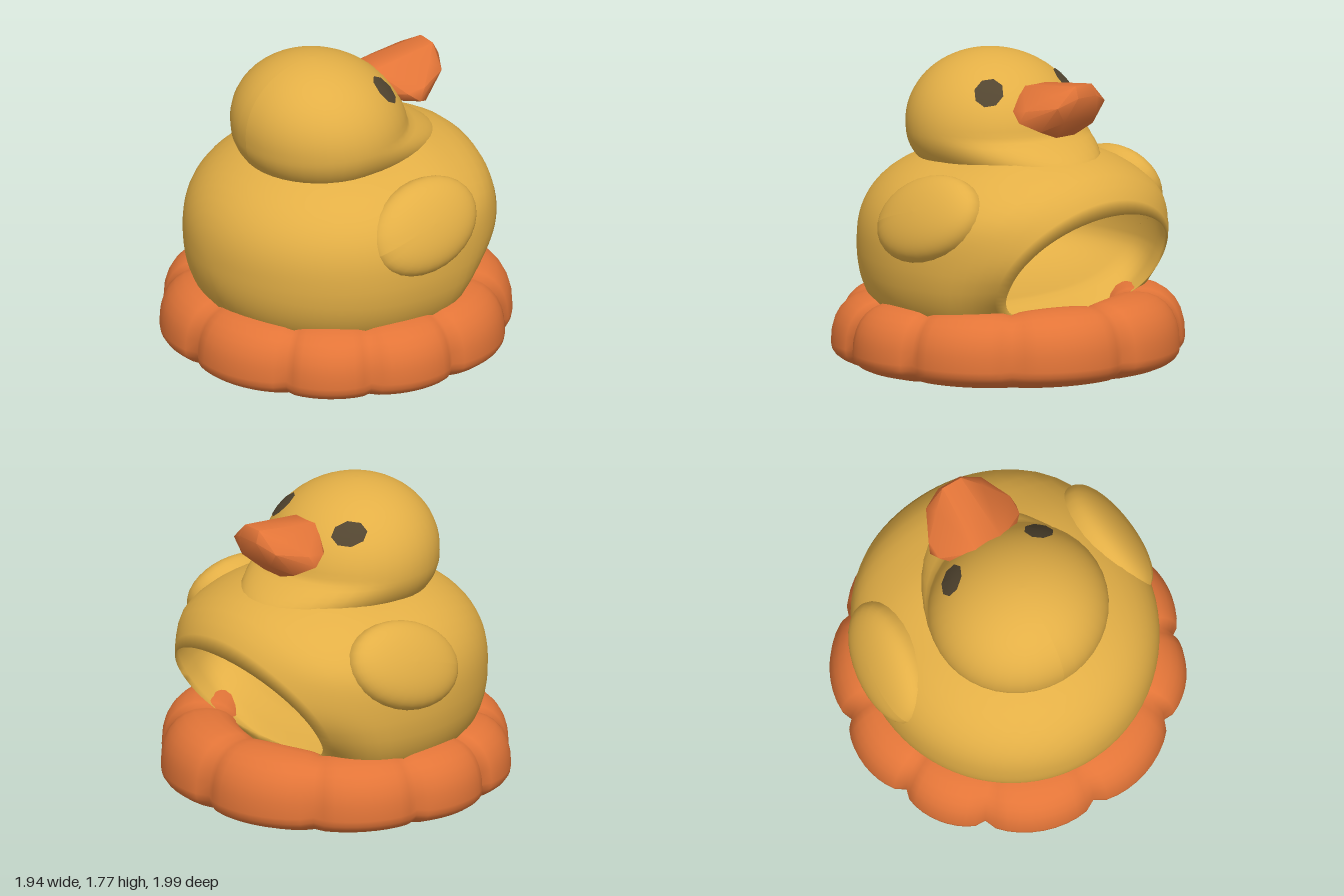
import * as THREE from 'three';
import { mergeVertices, toCreasedNormals } from 'three/addons/utils/BufferGeometryUtils.js';
import { ConvexGeometry } from 'three/addons/geometries/ConvexGeometry.js';

const { sin, cos, PI, hypot, abs, max, pow, exp } = Math;
const { smoothstep } = THREE.MathUtils;
const V = (x, y, z) => new THREE.Vector3(x, y, z);
const signedPow = (v, p) => Math.sign(v) * pow(abs(v), p);

// Smooth surface from a grid of points; u and v run from 0 to 1
function surface(nu, nv, point) {
  const pos = [], index = [];
  for (let i = 0; i <= nu; i++)
    for (let j = 0; j <= nv; j++) pos.push(...point((i % nu) / nu, j / nv).toArray());
  for (let i = 0; i < nu; i++)
    for (let j = 0; j < nv; j++) {
      const a = i * (nv + 1) + j, b = a + nv + 1;
      index.push(a, a + 1, b, b, a + 1, b + 1);
    }
  let geo = new THREE.BufferGeometry();
  geo.setAttribute('position', new THREE.Float32BufferAttribute(pos, 3));
  geo.setIndex(index);
  geo = mergeVertices(geo);
  geo.computeVertexNormals();
  return geo;
}

// Move every vertex of a geometry by a rule
function reshape(geo, rule) {
  const p = geo.attributes.position;
  for (let i = 0; i < p.count; i++) p.setXYZ(i, ...rule(V().fromBufferAttribute(p, i)).toArray());
  geo.computeVertexNormals();
  return geo;
}

// Scalloped cushion with ten lobes of uneven length
function cushionGeometry() {
  const notches = [0, 42, 79, 111, 141, 180, 219, 249, 281, 318, 360];
  const angles = [];
  const steps = 10;
  for (let k = 0; k < 10; k++)
    for (let s = 0; s < steps; s++)
      angles.push([notches[k] + (notches[k + 1] - notches[k]) * s / steps, s / steps]);
  return surface(angles.length, 28, (u, v) => {
    const [deg, s] = angles[Math.round(u * angles.length)];
    const a = deg * PI / 180, f = v * 2 * PI;
    const puff = pow(sin(PI * s), 0.5);
    const front = max(0, cos(a));
    const outer = 0.925 + 0.072 * puff;
    const c = signedPow(cos(f), 0.85), h = signedPow(sin(f), 0.85);
    const r = 0.72 + c * (c > 0 ? outer - 0.72 : 0.22);
    const y = 0.14 + h * (h > 0 ? 0.255 + 0.03 * puff + 0.025 * front : 0.12);
    return V(r * cos(a), y, r * sin(a));
  });
}

// Radius of the body at a height and heading, with a hood bulging to the front
function bodyRadius(y, a) {
  const w = pow(max(0, cos(a)), 1.5);
  const k = y > 0.7 ? (y - 0.7) / (0.56 + 0.06 * w) : (0.7 - y) / 0.62;
  if (k >= 1) return 0;
  const corner = cos(a) > 0 ? 0.04 * sin(2 * a) ** 2 : 0;
  return 0.86 * pow(1 - pow(k, 2.4), 1 / 2.4) * (1 + corner - 0.025 * sin(a) ** 2)
    + 0.05 * w * exp(-(((y - 0.97) / 0.14) ** 2));
}

// Hollow body: outer skin runs from the back to the doorway rim, then back inside
function bodyGeometry() {
  const centre = V(0, 0.65, 0);
  const hit = d => {
    let lo = 0, hi = 1.5;
    for (let i = 0; i < 30; i++) {
      const m = (lo + hi) / 2, x = d.x * m, z = d.z * m;
      if (hypot(x, z) < bodyRadius(0.65 + d.y * m, Math.atan2(z, x))) lo = m; else hi = m;
    }
    return lo;
  };
  return surface(64, 60, (u, v) => {
    const psi = u * 2 * PI, k = v * 2 - 1, t = abs(k), up = sin(psi) > 0;
    // Sloping doorway, round above and squarer below
    const y = 0.62 + (up ? 0.345 * sin(psi) : 0.27 * signedPow(sin(psi), 0.8));
    const z = 0.575 * signedPow(cos(psi), up ? 1 : 0.7);
    const rim = V(0.86 - (0.97 - y) * 0.64, y, z).sub(centre);
    const rimLength = rim.length();
    const dir = rim.clone().normalize();
    const side = hypot(dir.y, dir.z);
    const start = Math.acos(dir.x), ang = start + (PI - start) * t;
    const d = V(cos(ang), dir.y / side * sin(ang), dir.z / side * sin(ang));
    const blend = smoothstep(t, 0, 0.2);
    const r = rimLength * (1 - blend) + hit(d) * blend;
    const inner = k > 0 ? 1 - 0.05 * smoothstep(t, 0, 0.08) : 1;
    const p = d.multiplyScalar(r * inner);
    // Shallow bowl for the floor inside
    if (k > 0 && p.y < 0) p.y *= 1 - 0.55 * smoothstep(t, 0, 0.25);
    return p.add(centre);
  });
}

// Point on the head for a unit direction; the crown leans back, the throat runs forward
function headPoint(d) {
  const lean = 0.05 * max(d.y, 0), throat = 0.7 * max(d.x, 0) * max(-d.y, 0);
  return V(d.x * 0.49 - 0.11 - lean + throat, 1.34 + d.y * (d.y > 0 ? 0.43 : 0.33), d.z * 0.51);
}

// Head, open below where it sits on the body
const headGeometry = () =>
  reshape(new THREE.SphereGeometry(1, 40, 28, 0, 2 * PI, 0, 2.12), headPoint);

// Thin eye patch wrapped on the head
function eyeGeometry(side) {
  const spot = V(0.58, 0.61, 0.565 * side).normalize();
  const turn = new THREE.Quaternion().setFromUnitVectors(V(0, 0, 1), spot);
  const patch = new THREE.RingGeometry(0.001, 0.18, 8, 4).scale(0.92, 1.14, 1);
  return reshape(patch, v =>
    headPoint(v.applyQuaternion(turn).add(spot).normalize().multiplyScalar(1.015)));
}

// Puffed wing dome facing outward
function wingGeometry(side) {
  const dome = new THREE.SphereGeometry(1, 28, 16, 0, 2 * PI, 0, 0.56 * PI).rotateX(side * PI / 2);
  return reshape(dome, v => V(v.x, v.y, signedPow(v.z, 0.8)));
}

// Blunt, upturned beak from mirrored corner points
function beakGeometry() {
  const corners = [
    [0.2, 1.62, 0.08], [0.23, 1.5, 0.18], [0.28, 1.46, 0.2], [0.31, 1.515, 0.26],
    [0.38, 1.46, 0.28], [0.42, 1.53, 0.265], [0.61, 1.675, 0.06], [0.64, 1.61, 0.07],
    [0.53, 1.62, 0.15], [0.59, 1.56, 0.18], [0.58, 1.47, 0.12], [0.47, 1.41, 0.2], [0.46, 1.36, 0.07]];
  const points = corners.flatMap(([x, y, z]) => [V(x, y, z), V(x, y, -z)]);
  return toCreasedNormals(new ConvexGeometry(points), 0.9);
}

export function createModel() {
  const group = new THREE.Group();
  const material = (name, color) => {
    const m = new THREE.MeshStandardMaterial({ color });
    m.name = name;
    return m;
  };
  const yellow = material('yellow plush', 0xe3af46);
  const orange = material('orange plush', 0xe37538);
  const dark = material('dark brown', 0x524530);
  const add = (name, geo, mat) => {
    const mesh = new THREE.Mesh(geo, mat);
    mesh.name = name;
    group.add(mesh);
    return mesh;
  };

  // Base
  add('cushionRing', cushionGeometry(), orange);
  const sole = [[0, 0], [0.3, 0.004], [0.5, 0.018], [0.66, 0.05]].map(p => new THREE.Vector2(...p));
  add('sole', new THREE.LatheGeometry(sole, 40), orange);

  // Body and head
  add('hollowBody', bodyGeometry(), yellow);
  add('head', headGeometry(), yellow);
  add('beak', beakGeometry(), orange);

  // Wings and eyes on both sides
  for (const side of [1, -1]) {
    const label = side > 0 ? 'near' : 'far';
    const wing = add(label + 'Wing', wingGeometry(side), yellow);
    wing.scale.set(0.36, 0.255, 0.15);
    wing.position.set(0.11, 0.93, 0.705 * side);
    wing.rotation.set(-0.47 * side, 0, 0.28);
    add(label + 'Eye', eyeGeometry(side), dark);
  }
  return group;
}
